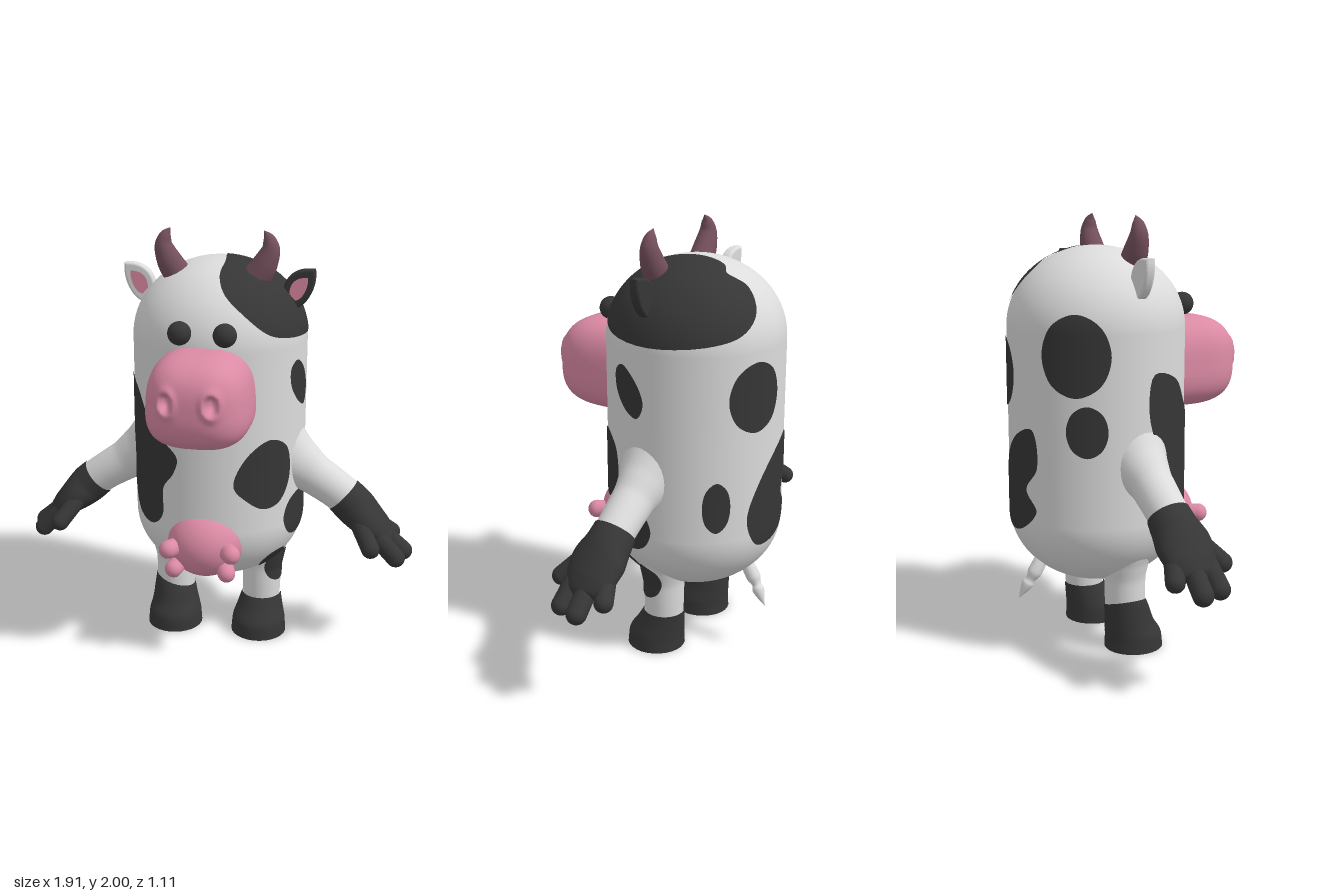
import * as THREE from 'three';

const V = (x, y, z) => new THREE.Vector3(x, y, z);
const material = (name, color) => Object.assign(new THREE.MeshStandardMaterial({ color }), { name });

// Body proportions: a cylinder with elliptical caps
const R = 0.41, ZC = -0.135, LOW = 0.64, HIGH = 1.5, H_LOW = 0.34, H_HIGH = 0.365, LIFT = 0.004;

const rad = (deg) => deg * Math.PI / 180;

// Surfaces the patches are laid on: at() gives a point, project() pulls a point onto the skin
const bodySkin = {
  at(a, y) {
    const dy = y > HIGH ? (y - HIGH) / H_HIGH : y < LOW ? (LOW - y) / H_LOW : 0;
    const r = R * Math.sqrt(Math.max(0, 1 - dy * dy));
    return V(r * Math.sin(rad(a)), y, ZC + r * Math.cos(rad(a)));
  },
  project(p) {
    const yc = THREE.MathUtils.clamp(p.y, LOW, HIGH);
    const h = p.y > yc ? H_HIGH : H_LOW;
    const r = Math.hypot(p.x, p.z - ZC);
    const n = Math.hypot(r / R, (p.y - yc) / h);
    const k = (1 + LIFT / R) / n;
    return V(p.x * k, yc + (p.y - yc) * k, ZC + (p.z - ZC) * k);
  },
};
const LEG_X = 0.22, LEG_Z = -0.1;
const legSkin = {
  at: (a, y) => V(LEG_X + 0.1 * Math.sin(rad(a)), y, LEG_Z + 0.1 * Math.cos(rad(a))),
  project(p) {
    const k = (0.1 + Math.max(0, p.y - 0.34) * 0.2) / Math.hypot(p.x - LEG_X, p.z - LEG_Z);
    return V(LEG_X + (p.x - LEG_X) * k, p.y, LEG_Z + (p.z - LEG_Z) * k);
  },
};

function gridGeometry(pos, rows, cols) {
  const index = [];
  for (let i = 0; i < rows - 1; i++) for (let j = 0; j < cols; j++) {
    const a = i * cols + j, b = i * cols + (j + 1) % cols;
    index.push(a, b, a + cols, b, b + cols, a + cols);
  }
  const g = new THREE.BufferGeometry();
  g.setAttribute('position', new THREE.Float32BufferAttribute(pos, 3));
  g.setIndex(index);
  g.computeVertexNormals();
  return g;
}

// Thin patch: a smooth clockwise outline of [angle, height], filled with rings on the skin
function patchGeometry(points, skin = bodySkin) {
  const M = 64, K = 16, pos = [];
  const curve = new THREE.CatmullRomCurve3(points.map(([a, y]) => skin.at(a, y)), true);
  const rim = curve.getPoints(M).slice(0, M);
  const mid = rim.reduce((s, p) => s.add(p), V(0, 0, 0)).divideScalar(M);
  for (let k = 0; k <= K; k++) for (const p of rim) {
    pos.push(...skin.project(mid.clone().lerp(p, k / K)).toArray());
  }
  return gridGeometry(pos, K + 1, M);
}

const oval = (a, y, da, dy) => Array.from({ length: 8 }, (_, i) =>
  [a + da * Math.sin(i * Math.PI / 4), y + dy * Math.cos(i * Math.PI / 4)]);

// Smooth limb through sections [x, y, z, radius, depth radius]
function loft(sections, flat = false) {
  const N = 28, steps = (sections.length - 1) * 6, pos = [];
  const path = new THREE.CatmullRomCurve3(sections.map(s => V(s[0], s[1], s[2])));
  const size = new THREE.CatmullRomCurve3(sections.map(s => V(s[3], s[4] ?? s[3], 0)));
  for (let i = 0; i <= steps; i++) {
    const c = path.getPoint(i / steps), s = size.getPoint(i / steps);
    const t = flat ? V(0, 1, 0) : path.getTangent(i / steps);
    const u = V(0, 0, 1).addScaledVector(t, -t.z).normalize();
    const v = t.clone().cross(u);
    for (let j = 0; j < N; j++) {
      const th = j / N * Math.PI * 2;
      pos.push(...c.clone().addScaledVector(u, Math.cos(th) * s.y).addScaledVector(v, Math.sin(th) * s.x).toArray());
    }
  }
  return gridGeometry(pos, steps + 1, N);
}

function capsule(a, b, r) {
  const d = b.clone().sub(a);
  const g = new THREE.CapsuleGeometry(r, d.length(), 10, 20);
  g.applyQuaternion(new THREE.Quaternion().setFromUnitVectors(V(0, 1, 0), d.normalize()));
  return g.translate(...a.clone().add(b).multiplyScalar(0.5).toArray());
}

// Boxy rounded muzzle with two dented nostrils
function muzzleGeometry() {
  const g = new THREE.SphereGeometry(1, 128, 96), p = g.attributes.position, e = 2.9;
  for (let i = 0; i < p.count; i++) {
    const d = V().fromBufferAttribute(p, i);
    d.divideScalar((Math.abs(d.x) ** e + Math.abs(d.y) ** e + Math.abs(d.z) ** e) ** (1 / e));
    const x = d.x * 0.232 * (1 - 0.07 * d.y), y = 1.315 + d.y * 0.215;
    let z = 0.27 + d.z * 0.28;
    if (d.z > 0) {
      const q = Math.hypot((Math.abs(x) - 0.1) / 0.024, (y - 1.352) / 0.036);
      z += 0.012 * Math.exp(-((q - 1.5) ** 2) * 3) - 0.04 * Math.exp(-(q ** 4));
    }
    p.setXYZ(i, x, y, z);
  }
  g.computeVertexNormals();
  return g;
}

function earShape(scale) {
  const f = (x, y) => [0.375 + (x - 0.375) * scale, 1.74 + (y - 1.74) * scale];
  const s = new THREE.Shape();
  s.moveTo(...f(0.35, 1.655));
  s.bezierCurveTo(...f(0.40, 1.66), ...f(0.445, 1.75), ...f(0.435, 1.815));
  s.bezierCurveTo(...f(0.37, 1.82), ...f(0.31, 1.79), ...f(0.31, 1.70));
  s.closePath();
  return s;
}

export function createModel() {
  const white = material('white hide', 0xdcdcdc), black = material('black hide', 0x363636);
  const pink = material('pink skin', 0xdb8aa4), horn = material('horn', 0x74505c);
  const model = new THREE.Group();
  model.name = 'cow';
  const add = (parent, name, geometry, mat) => {
    const m = new THREE.Mesh(geometry, mat);
    m.name = name;
    parent.add(m);
    return m;
  };

  // Body
  const profile = [];
  for (let i = 0; i <= 20; i++) {
    const t = i / 20 * Math.PI / 2;
    profile.push(new THREE.Vector2(R * Math.sin(t), LOW - H_LOW * Math.cos(t)));
  }
  for (let i = 0; i <= 20; i++) {
    const t = i / 20 * Math.PI / 2;
    profile.push(new THREE.Vector2(R * Math.cos(t), HIGH + H_HIGH * Math.sin(t)));
  }
  add(model, 'body', new THREE.LatheGeometry(profile, 96).translate(0, 0, ZC), white);

  // Black patches around the body
  const patches = {
    headPatch: [[163, 1.86], [169, 1.836], [158, 1.812], [170, 1.76], [164, 1.66], [150, 1.585], [130, 1.55],
      [90, 1.53], [55, 1.55], [42, 1.58], [27.6, 1.663], [15, 1.743], [10.5, 1.81], [25, 1.855]],
    chestPatch: [[-78, 1.32], [-56, 1.28], [-43, 1.17], [-29, 1.08], [-17, 1.0], [-20, 0.92], [-28, 0.84],
      [-29, 0.7], [-38, 0.64], [-54, 0.66], [-65, 0.75], [-74, 0.95], [-82, 1.15]],
    bellyPatch: [[20, 0.88], [29, 1.02], [45, 1.085], [60, 1.03], [63, 0.88], [54, 0.77], [41, 0.75], [29, 0.8]],
    sidePatch: [[63, 1.4], [70, 1.43], [82, 1.36], [87, 1.27], [82, 1.2], [72, 1.23], [63, 1.32]],
    hipPatch: oval(75, 0.67, 17, 0.11),
    groinPatch: oval(61, 0.44, 13, 0.06),
    flankPatch: oval(134, 0.81, 9, 0.12),
    backPatch: oval(161, 1.3, 20, 0.16),
    shoulderPatch: oval(-129, 1.41, 22, 0.18),
    ribPatch: oval(-122, 1.08, 13, 0.115),
    rumpPatch: [[-177, 1.03], [-160, 1.07], [-156, 0.9], [-166, 0.79], [-157, 0.7], [-172, 0.6], [-196, 0.59],
      [-205, 0.725], [-195, 0.9]],
  };
  for (const [name, pts] of Object.entries(patches)) add(model, name, patchGeometry(pts), black);

  // Face and udder
  add(model, 'muzzle', muzzleGeometry(), pink);
  add(model, 'udder', new THREE.SphereGeometry(1, 40, 28).scale(0.18, 0.165, 0.17).translate(0, 0.572, 0.195), pink);

  // Tail
  add(model, 'tail', loft([[0, 0.46, -0.4, 0.02], [0, 0.41, -0.43, 0.032], [0, 0.36, -0.46, 0.034],
    [0.005, 0.325, -0.482, 0.022], [0.01, 0.305, -0.493, 0.028], [0.02, 0.235, -0.535, 0.001]]), white);

  // Paired parts, built on the left and mirrored to the right
  for (const s of [1, -1]) {
    const half = new THREE.Group();
    half.name = s > 0 ? 'leftParts' : 'rightParts';
    half.scale.x = s;
    model.add(half);

    add(half, 'eye', new THREE.SphereGeometry(0.053, 28, 20).translate(0.102, 1.59, 0.264), black);
    add(half, 'horn', loft([[0.17, 1.77, -0.045, 0.068, 0.06], [0.222, 1.85, -0.045, 0.058, 0.054],
      [0.247, 1.92, -0.045, 0.042, 0.041], [0.237, 1.967, -0.045, 0.026], [0.215, 2.0, -0.045, 0.001]]), horn);

    // Ear with inner face
    const ear = new THREE.ExtrudeGeometry(earShape(1), { depth: 0.02, bevelThickness: 0.014, bevelSize: 0.012, bevelSegments: 5, curveSegments: 16 });
    add(half, 'ear', ear.translate(0, 0, -0.105), s > 0 ? black : white);
    add(half, 'innerEar', new THREE.ShapeGeometry(earShape(0.66), 16).translate(0, 0, -0.068), pink);

    // Teats
    add(half, 'upperTeat', capsule(V(0.11, 0.575, 0.28), V(0.148, 0.577, 0.338), 0.043), pink);
    add(half, 'lowerTeat', capsule(V(0.1, 0.5, 0.26), V(0.126, 0.475, 0.325), 0.041), pink);

    // Arm and hand
    add(half, 'arm', loft([[0.3, 0.935, -0.1, 0.19, 0.16], [0.39, 0.888, -0.098, 0.128, 0.12],
      [0.47, 0.838, -0.095, 0.1, 0.097], [0.56, 0.78, -0.095, 0.093], [0.63, 0.73, -0.095, 0.09]]), white);
    add(half, 'palm', loft([[0.61, 0.745, -0.095, 0.095, 0.098], [0.66, 0.7, -0.093, 0.097, 0.107],
      [0.72, 0.645, -0.085, 0.085, 0.13], [0.79, 0.585, -0.085, 0.064, 0.12], [0.84, 0.54, -0.08, 0.04, 0.08],
      [0.86, 0.525, -0.08, 0.002]]), black);
    const fingers = [
      [V(0.7, 0.64, 0), V(0.765, 0.55, 0.085), 0.043], [V(0.78, 0.58, -0.01), V(0.88, 0.48, 0.002), 0.045],
      [V(0.8, 0.57, -0.09), V(0.908, 0.478, -0.098), 0.046], [V(0.76, 0.6, -0.155), V(0.845, 0.53, -0.195), 0.043]];
    for (const f of fingers) add(half, 'finger', capsule(...f), black);

    // Leg and hoof; the right hoof has a slanted upper edge
    add(half, 'leg', loft([[LEG_X, 0.14, LEG_Z, 0.09], [LEG_X, 0.25, LEG_Z, 0.094], [LEG_X, 0.34, LEG_Z, 0.096],
      [LEG_X, 0.42, LEG_Z, 0.112], [LEG_X - 0.01, 0.5, LEG_Z, 0.15]], true), white);
    const hoof = loft([[0.215, 0, -0.052, 0.136, 0.138], [0.215, 0.07, -0.056, 0.13, 0.132],
      [0.217, 0.13, -0.079, 0.112, 0.113], [LEG_X, 0.19, -0.1, 0.096, 0.097]], true);
    if (s < 0) {
      const p = hoof.attributes.position;
      for (let i = 0; i < p.count; i++) {
        const k = THREE.MathUtils.smoothstep(p.getY(i), 0.1, 0.19);
        p.setY(i, p.getY(i) + k * (0.035 + (p.getX(i) - LEG_X) * 0.3));
      }
      hoof.computeVertexNormals();
    }
    add(half, 'hoof', hoof, black);
    add(half, 'sole', new THREE.CircleGeometry(1, 28).rotateX(Math.PI / 2).scale(0.136, 1, 0.138).translate(0.215, 0, -0.052), black);
    if (s > 0) add(half, 'legPatch', patchGeometry(oval(66, 0.365, 50, 0.085), legSkin), black);
  }
  return model;
}
